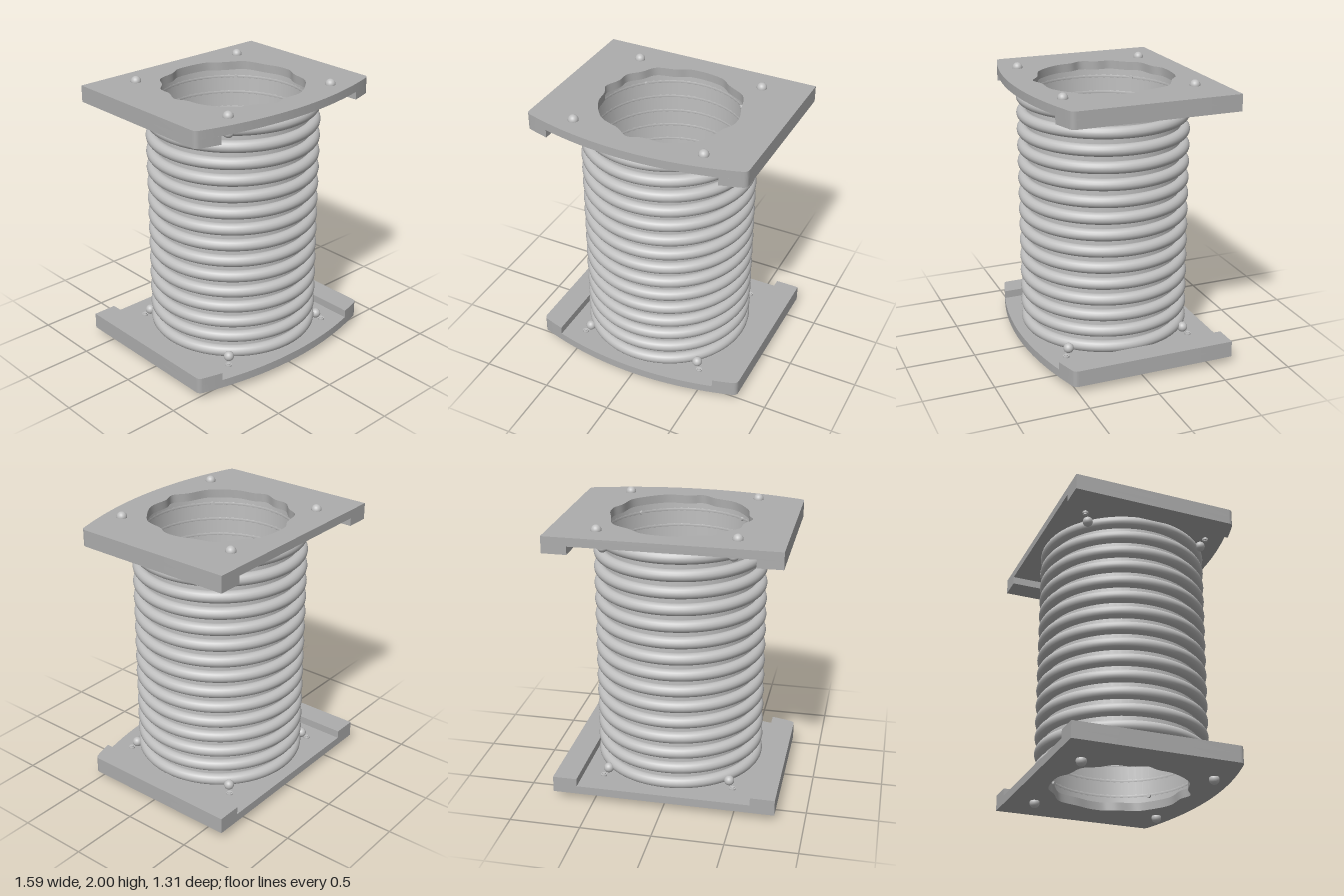
import * as THREE from 'three';
import { toCreasedNormals } from 'three/addons/utils/BufferGeometryUtils.js';

const plateMat = new THREE.MeshStandardMaterial({ color: 0xadadad });
plateMat.name = 'plate grey';
const tubeMat = new THREE.MeshStandardMaterial({ color: 0xc0c0c0 });
tubeMat.name = 'tube grey';

function addMesh(parent, name, geometry, material, x = 0, y = 0, z = 0) {
  const mesh = new THREE.Mesh(geometry, material);
  mesh.name = name;
  mesh.position.set(x, y, z);
  parent.add(mesh);
  return mesh;
}

// Extrude an outline drawn in x/z downward, with its top face at y = 0
function slab(shape, depth) {
  const g = new THREE.ExtrudeGeometry(shape, { depth, bevelEnabled: false, curveSegments: 32 });
  g.rotateX(Math.PI / 2);
  return toCreasedNormals(g, 0.5);
}

const HALF = 0.793, BACK = -0.657, CORNER = 0.525, FRONT = 0.655;
// Shallow bowed front edge
const frontZ = (x) => FRONT - (FRONT - CORNER) * (x / HALF) ** 2;

// Outline of the plate between two x values, with softened outer front corners
function outline(x0, x1) {
  const r = 0.03;
  const s = new THREE.Shape();
  s.moveTo(x0, BACK);
  s.lineTo(x1, BACK);
  if (x1 === HALF) {
    s.lineTo(x1, CORNER - r);
    s.quadraticCurveTo(x1, CORNER, x1 - r, frontZ(x1 - r));
  }
  const a = x1 === HALF ? x1 - r : x1;
  const b = x0 === -HALF ? x0 + r : x0;
  for (let i = 0; i <= 32; i++) {
    const x = a + (b - a) * i / 32;
    s.lineTo(x, frontZ(x));
  }
  if (x0 === -HALF) s.quadraticCurveTo(x0, CORNER, x0, CORNER - r);
  s.closePath();
  return s;
}

// Rough-cut opening, as x, z pairs
const opening = [
  -0.08, -0.49, 0.17, -0.47, 0.26, -0.4, 0.4, -0.31, 0.455, -0.15, 0.49, -0.04,
  0.49, 0.06, 0.45, 0.14, 0.415, 0.28, 0.335, 0.365, 0.19, 0.455, 0.03, 0.46,
  -0.065, 0.49, -0.165, 0.425, -0.32, 0.36, -0.44, 0.19, -0.465, 0.06, -0.5, -0.02,
  -0.455, -0.13, -0.445, -0.23, -0.37, -0.31, -0.31, -0.405, -0.165, -0.445,
];

function plateShape() {
  const pts = [];
  for (let i = 0; i < opening.length; i += 2) pts.push(new THREE.Vector3(opening[i], opening[i + 1], 0));
  const curve = new THREE.CatmullRomCurve3(pts, true, 'centripetal');
  const shape = outline(-HALF, HALF);
  shape.holes.push(new THREE.Path(curve.getPoints(110).slice(0, -1).map((p) => new THREE.Vector2(p.x, p.y))));
  return shape;
}

export function createModel() {
  const model = new THREE.Group();
  model.name = 'flangedBellows';

  // End plates with raised side rails facing the tube
  const plateGeo = slab(plateShape(), 0.06);
  const railGeos = [slab(outline(0.62, HALF), 0.057), slab(outline(-HALF, -0.62), 0.057)];
  for (const [end, plateTop, railTop] of [['top', 1.96, 1.9], ['bottom', 0.11, 0.167]]) {
    addMesh(model, end + 'Plate', plateGeo, plateMat, 0, plateTop);
    railGeos.forEach((g, i) => addMesh(model, end + (i ? 'RightRail' : 'LeftRail'), g, plateMat, 0, railTop));
  }

  // Tube wall
  const wall = new THREE.Shape();
  wall.absarc(0, 0, 0.545, 0, Math.PI * 2);
  const bore = new THREE.Path();
  bore.absarc(0, 0, 0.525, 0, Math.PI * 2, true);
  wall.holes.push(bore);
  addMesh(model, 'tubeWall', slab(wall, 1.79), tubeMat, 0, 1.9);

  // Stacked rings around the tube
  const ringGeo = new THREE.TorusGeometry(0.565, 0.042, 16, 80);
  ringGeo.rotateX(Math.PI / 2);
  for (let i = 0; i < 15; i++) addMesh(model, 'tubeRing', ringGeo, tubeMat, 0, 1.005 + (i - 7) * 0.119, 0);

  // Rivets: vertical ones through the plates, radial ones through the tube wall
  const headGeo = new THREE.SphereGeometry(0.036, 20, 14);
  const shaftGeo = new THREE.CylinderGeometry(0.014, 0.014, 0.1, 12);
  const tipGeo = new THREE.CylinderGeometry(0.022, 0.022, 0.015, 12);
  const pinGeo = new THREE.CylinderGeometry(0.014, 0.014, 0.115, 12);
  pinGeo.rotateX(Math.PI / 2);
  for (const up of [1, -1]) {
    for (const sx of [1, -1]) {
      for (const sz of [1, -1]) {
        const at = (d) => 1 + up * d;
        const x = 0.47 * sx, z = 0.47 * sz;
        addMesh(model, 'plateRivetHead', headGeo, tubeMat, x, at(0.964), z);
        addMesh(model, 'plateRivetShaft', shaftGeo, tubeMat, x, at(0.92), z);
        addMesh(model, 'plateRivetTip', tipGeo, tubeMat, x, at(0.885), z);
        addMesh(model, 'tubeRivetHead', headGeo, tubeMat, 0.44 * sx, at(0.838), 0.44 * sz);
        const pin = addMesh(model, 'tubeRivetPin', pinGeo, tubeMat, 0.4 * sx, at(0.838), 0.4 * sz);
        pin.rotation.y = Math.atan2(sx, sz);
      }
    }
  }
  return model;
}
